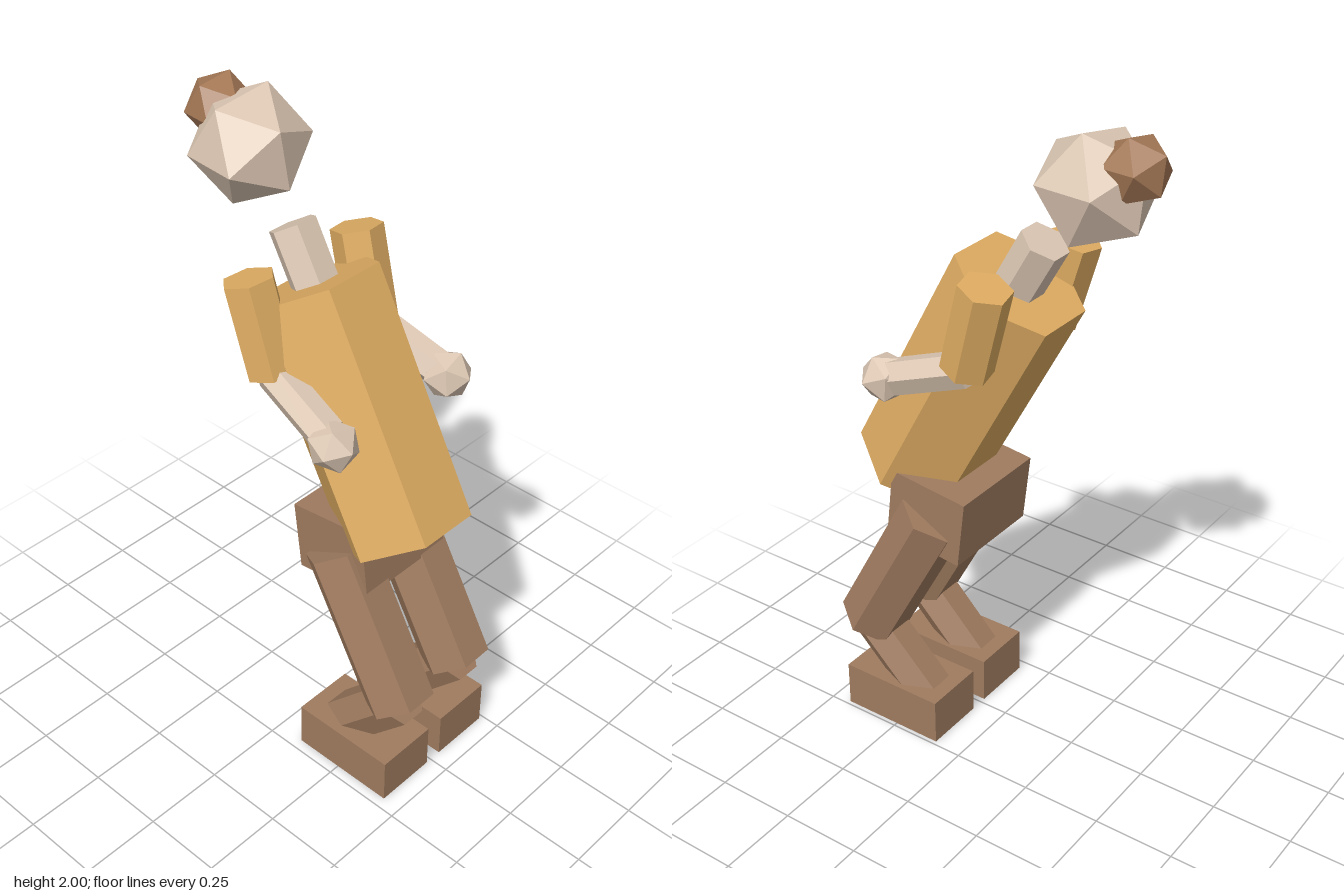
import * as THREE from 'three';

const mat = (name, color) => Object.assign(new THREE.MeshStandardMaterial({ color, flatShading: true }), { name });

export function createModel() {
  const model = new THREE.Group();
  const shirt = mat('mustard shirt', 0xdeac62);
  const skin = mat('pale skin', 0xdcc7b3);
  const trousers = mat('brown trousers', 0x9f7b5f);
  const hair = mat('brown hair', 0xa37755);

  const add = (name, geometry, material, pos) => {
    const mesh = new THREE.Mesh(geometry, material);
    mesh.name = name;
    mesh.position.set(...pos);
    model.add(mesh);
    return mesh;
  };

  // Six-sided limb between two points, with a flat side to the front
  const limb = (name, material, radius, from, to, twist = 0) => {
    const a = new THREE.Vector3(...from), b = new THREE.Vector3(...to);
    const axis = a.clone().sub(b);
    const geometry = new THREE.CylinderGeometry(radius, radius, axis.length(), 6);
    geometry.rotateY(Math.PI / 6 + twist);
    const mesh = add(name, geometry, material, a.add(b).multiplyScalar(0.5).toArray());
    mesh.quaternion.setFromUnitVectors(new THREE.Vector3(0, 1, 0), axis.normalize());
  };

  // Twenty-sided ball
  const ball = (name, material, radius, pos, rot) =>
    add(name, new THREE.IcosahedronGeometry(radius), material, pos).rotation.set(...rot);

  // Leaning body, neck, head and hair bun
  limb('torso', shirt, 0.195, [0.004, 1.505, -0.053], [0.004, 0.84, 0.307]);
  limb('neck', skin, 0.071, [0.01, 1.648, -0.137], [0.008, 1.46, -0.029]);
  ball('head', skin, 0.171, [0.01, 1.833, -0.29], [0, -0.1, 0.16]);
  ball('hairBun', hair, 0.098, [0.012, 1.905, -0.405], [0, -0.1, 0.16]);

  // Hips tipped backwards
  add('pelvis', new THREE.BoxGeometry(0.335, 0.215, 0.26), trousers, [0.018, 0.77, 0.155])
    .rotation.x = -0.12;

  // Joint positions for each side, from shoulder to foot
  const sides = [
    {
      side: 'left', s: 1,
      shoulder: [0.215, 1.577, -0.09], elbow: [0.2, 1.315, -0.015],
      wrist: [0.228, 1.235, 0.215], hand: [0.232, 1.228, 0.242],
      hip: [0.137, 0.763, 0.153], knee: [0.149, 0.307, 0.397],
      shinTop: [0.149, 0.317, 0.4], ankle: [0.14, 0.1, 0.193], foot: 0.138,
    },
    {
      side: 'right', s: -1,
      shoulder: [-0.19, 1.58, -0.105], elbow: [-0.18, 1.315, -0.03],
      wrist: [-0.215, 1.235, 0.21], hand: [-0.224, 1.225, 0.235],
      hip: [-0.112, 0.763, 0.153], knee: [-0.105, 0.307, 0.397],
      shinTop: [-0.105, 0.317, 0.4], ankle: [-0.11, 0.1, 0.193], foot: -0.117,
    },
  ];
  for (const p of sides) {
    // Arm
    limb(p.side + 'UpperArm', shirt, 0.076, p.shoulder, p.elbow, p.s * 0.2);
    limb(p.side + 'Forearm', skin, 0.055, p.elbow, p.wrist);
    ball(p.side + 'Hand', skin, 0.075, p.hand, [0.4, p.s * 0.2, p.s * 0.15]);
    // Leg and foot
    limb(p.side + 'Thigh', trousers, 0.106, p.hip, p.knee);
    limb(p.side + 'Shin', trousers, 0.079, p.shinTop, p.ankle);
    add(p.side + 'Foot', new THREE.BoxGeometry(0.198, 0.147, 0.343), trousers, [p.foot, 0.0735, 0.267]);
  }
  return model;
}
